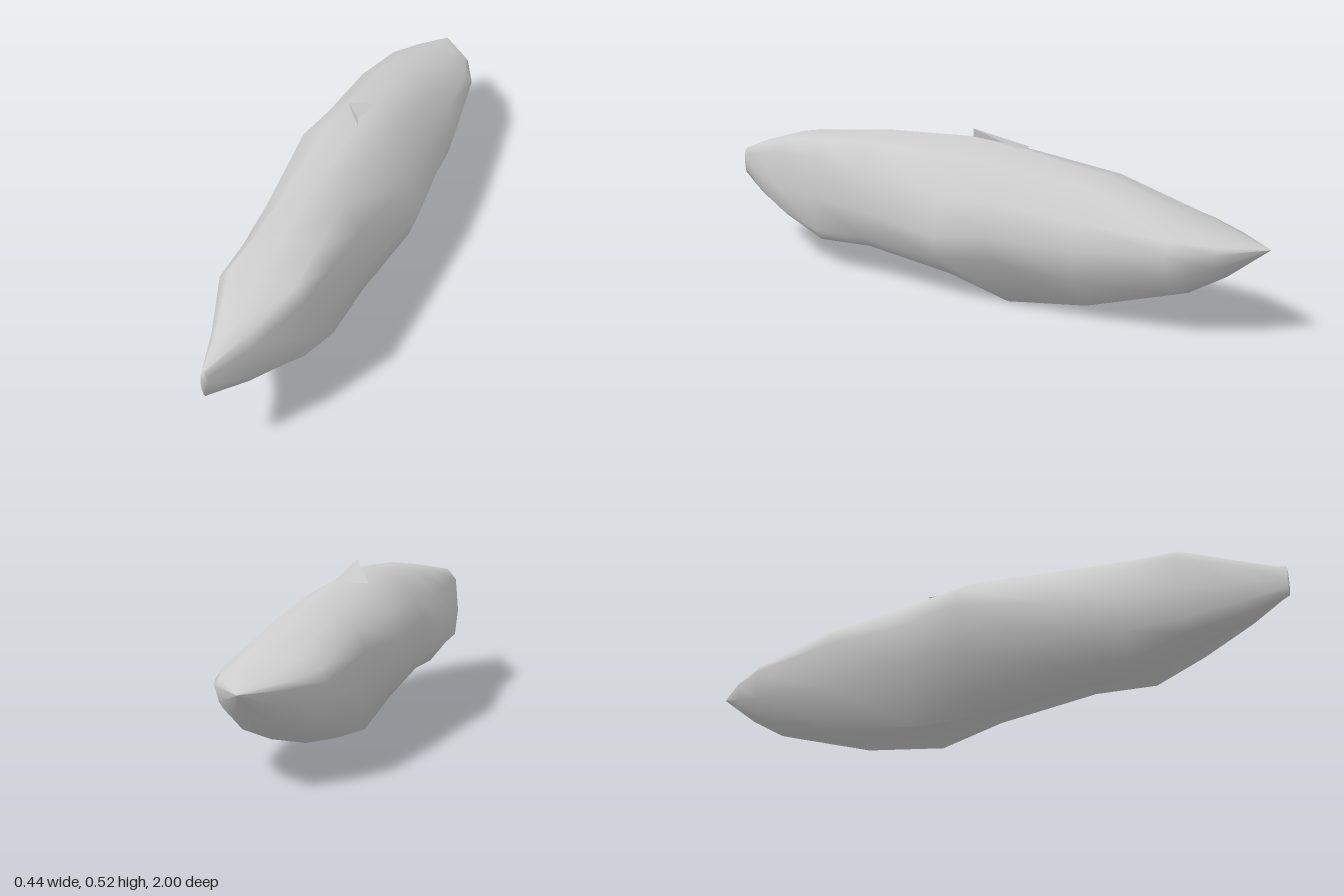
import * as THREE from 'three';

const SIDES = 12;

// z, left x, right x, top y, bottom y, left and right widest y, roundness of the
// upper left, upper right, lower left and lower right (below 1 is boxier), keel drop
const STATIONS = [
  [1.0, -0.003, 0.02, 0.33, 0.235, 0.285, 0.285, 1, 1, 1, 1, 0],
  [0.87, -0.045, 0.1, 0.38, 0.19, 0.28, 0.28, 0.7, 0.7, 0.8, 0.8, 0],
  [0.7, -0.115, 0.17, 0.432, 0.138, 0.27, 0.26, 0.5, 0.5, 0.55, 0.65, 0],
  [0.53, -0.14, 0.177, 0.455, 0.088, 0.27, 0.25, 0.85, 0.65, 0.9, 0.45, 0.005],
  [0.33, -0.172, 0.19, 0.478, 0.085, 0.29, 0.24, 1.1, 0.9, 1, 0.7, 0],
  [0.0, -0.22, 0.218, 0.494, 0.048, 0.34, 0.212, 1.1, 1.3, 1, 1, 0.01],
  [-0.2, -0.22, 0.197, 0.472, 0.048, 0.31, 0.235, 1.1, 1.3, 1.2, 1.2, 0.079],
  [-0.48, -0.22, 0.162, 0.428, 0.024, 0.31, 0.23, 1, 1.25, 1, 1, 0.015],
  [-0.76, -0.22, 0.115, 0.335, 0.1, 0.27, 0.255, 0.95, 1.15, 0.95, 0.95, 0],
  [-0.88, -0.165, 0.055, 0.303, 0.172, 0.268, 0.265, 1, 1.1, 1, 1, 0],
  [-1.0, -0.077, -0.073, 0.27, 0.268, 0.269, 0.269, 1, 1, 1, 1, 0],
];

const power = (v, p) => Math.sign(v) * Math.pow(Math.abs(v), p);

// Skin the cross-sections into one smooth closed hull
function hullGeometry() {
  const pos = [], index = [];
  for (const [z, xl, xr, top, bottom, midL, midR, upL, upR, lowL, lowR, drop] of STATIONS) {
    for (let j = 0; j < SIDES; j++) {
      const a = (j / SIDES) * Math.PI * 2;
      const c = Math.cos(a);
      const p = j <= 6 ? (c < 0 ? upL : upR) : (c < 0 ? lowL : lowR);
      const mid = c < 0 ? midL : midR;
      const s = power(Math.sin(a), p);
      const x = (xl + xr) / 2 + ((xr - xl) / 2) * power(c, p);
      let y = mid + s * (s > 0 ? top - mid : mid - bottom);
      if (j === 8 || j === 10) y -= drop; // two keels with a groove between
      pos.push(x, y, z);
    }
  }
  const last = STATIONS.length - 1;
  for (let j = 0; j < SIDES; j++) {
    const k = (j + 1) % SIDES;
    for (let i = 0; i < last; i++) {
      const a = i * SIDES + j, b = i * SIDES + k;
      index.push(a, a + SIDES, b, b, a + SIDES, b + SIDES);
    }
    // End caps
    if (j > 0 && j < SIDES - 1) {
      index.push(0, j, k, last * SIDES, last * SIDES + k, last * SIDES + j);
    }
  }
  const g = new THREE.BufferGeometry();
  g.setAttribute('position', new THREE.Float32BufferAttribute(pos, 3));
  g.setIndex(index);
  g.computeVertexNormals();
  return g;
}

export function createModel() {
  const group = new THREE.Group();
  group.name = 'spindleBody';
  const grey = new THREE.MeshStandardMaterial({ color: 0xcccccc, side: THREE.DoubleSide });
  grey.name = 'light grey';

  const hull = new THREE.Mesh(hullGeometry(), grey);
  hull.name = 'hull';
  group.add(hull);

  // Small raised flake on the crown
  const flake = new THREE.BufferGeometry();
  flake.setAttribute('position', new THREE.Float32BufferAttribute(
    [0, 0.52, -0.01, 0, 0.47, -0.01, -0.1, 0.462, -0.16, 0, 0.52, -0.01, -0.1, 0.462, -0.16, 0, 0.468, -0.2], 3));
  flake.computeVertexNormals();
  const crest = new THREE.Mesh(flake, grey);
  crest.name = 'crownFlake';
  group.add(crest);

  return group;
}
